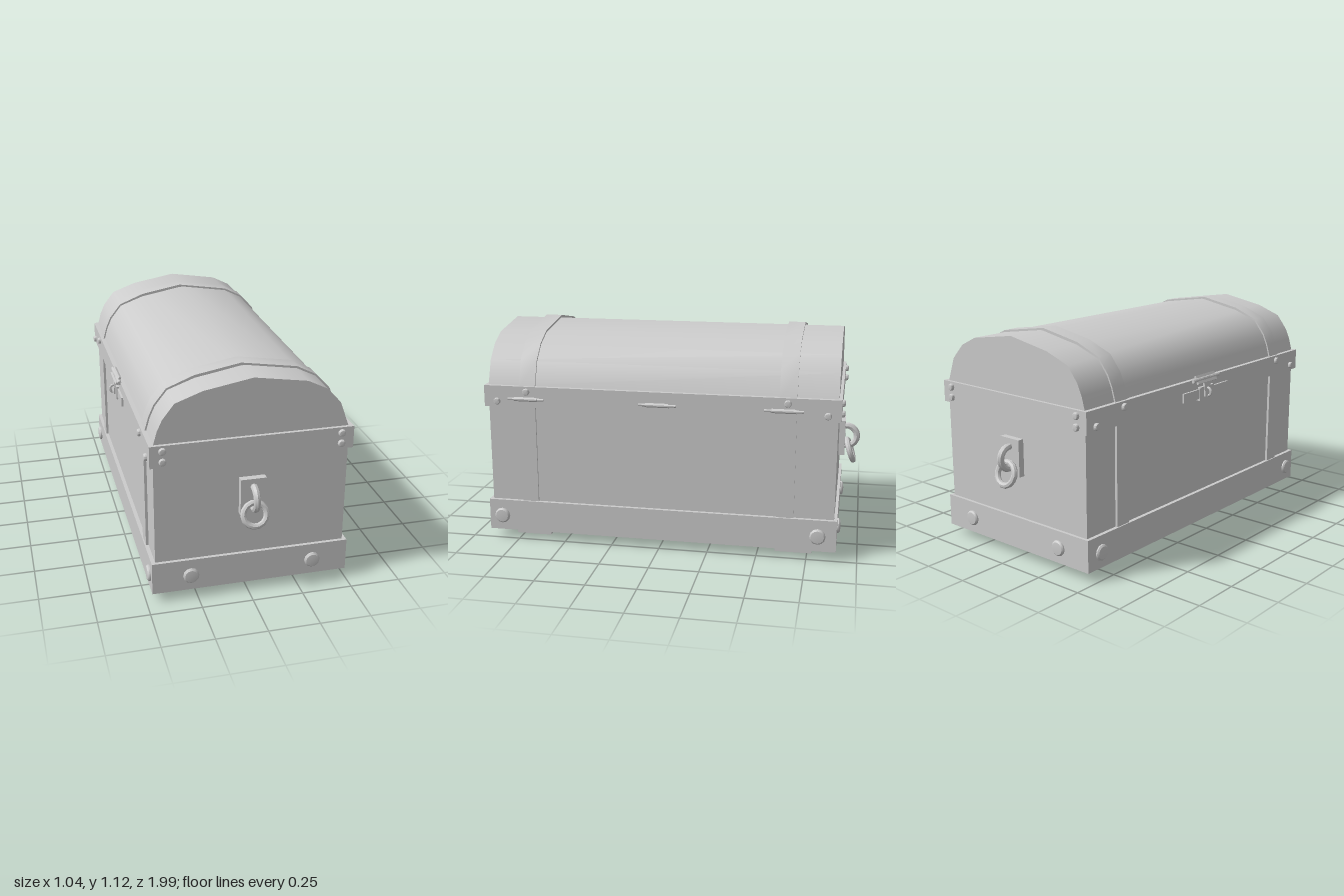
import * as THREE from 'three';
import { toCreasedNormals } from 'three/addons/utils/BufferGeometryUtils.js';

const CX = 0.014, CZ = 0.005; // middle of the chest body

export function createModel() {
  const chest = new THREE.Group();
  chest.name = 'chest';
  const mat = new THREE.MeshStandardMaterial({ color: 0xcccccc });

  const add = (name, geo, parent = chest) => {
    const mesh = new THREE.Mesh(toCreasedNormals(geo, 0.6), mat);
    mesh.name = name;
    parent.add(mesh);
    return mesh;
  };
  // Box given by its extents on each axis
  const box = (name, x0, x1, y0, y1, z0, z1, parent) => {
    const m = add(name, new THREE.BoxGeometry(x1 - x0, y1 - y0, z1 - z0), parent);
    m.position.set((x0 + x1) / 2, (y0 + y1) / 2, (z0 + z1) / 2);
    return m;
  };
  const extrude = (name, points, z0, z1) => {
    const shape = new THREE.Shape(points.map(([x, y]) => new THREE.Vector2(x, y)));
    const geo = new THREE.ExtrudeGeometry(shape, { depth: z1 - z0, bevelEnabled: false });
    add(name, geo).position.z = z0;
  };
  // Domed rivet pointing outwards along dir
  const rivet = (x, y, z, r, dir) => {
    const profile = [[0, 0.017], [r * 0.82, 0.014], [r, 0.007], [r, -0.005]];
    const geo = new THREE.LatheGeometry(profile.map(p => new THREE.Vector2(...p)).reverse(), 12);
    const m = add('rivet', geo);
    m.position.set(x, y, z);
    m.quaternion.setFromUnitVectors(new THREE.Vector3(0, 1, 0), dir);
  };

  // Body and its trims
  box('body', -0.453, 0.481, 0.06, 0.8, -0.881, 0.889);
  box('baseTrim', -0.472, 0.5, 0.047, 0.21, -0.896, 0.906);
  box('lidTrim', -0.472, 0.5, 0.713, 0.822, -0.896, 0.906);

  // Feet
  for (const [x0, x1] of [[-0.37, -0.19], [0.24, 0.42]])
    for (const [z0, z1] of [[-0.773, -0.587], [0.602, 0.788]])
      box('foot', x0, x1, 0, 0.05, z0, z1);

  // Domed lid
  extrude('lid', [[0.481, 0.81], [0.433, 0.942], [0.363, 1.017], [0.27, 1.063], [0.014, 1.103],
    [-0.22, 1.061], [-0.35, 1.013], [-0.407, 0.94], [-0.432, 0.885], [-0.453, 0.81]], -0.881, 0.889);

  // Straps over the lid and down both sides
  const outer = [[0.488, 0.815], [0.439, 0.948], [0.368, 1.024], [0.272, 1.073], [0, 1.115],
    [-0.222, 1.074], [-0.354, 1.021], [-0.414, 0.945], [-0.439, 0.888], [-0.46, 0.815]];
  const inner = outer.map(([x, y]) => [CX + (x - CX) * 0.97, y - 0.013]).reverse();
  for (const [z0, z1] of [[-0.682, -0.596], [0.64, 0.725]]) {
    extrude('lidStrap', [...outer, ...inner], z0, z1);
    box('sideStrap', 0.475, 0.49, 0.2, 0.72, z0, z1);
    box('sideStrap', -0.466, -0.45, 0.2, 0.72, z0, z1);
  }

  // Rivets on the long sides
  for (const s of [-1, 1]) {
    const dir = new THREE.Vector3(s, 0, 0), x = CX + s * 0.486;
    for (const z of [-0.803, 0.837]) rivet(x, 0.125, z, 0.04, dir);
    for (const z of [-0.832, 0.838]) rivet(x, 0.742, z, 0.018, dir);
    for (const z of [-0.639, 0.682]) rivet(x, 0.795, z, 0.018, dir);
  }

  // Rivets and ring handles on both ends
  for (const s of [-1, 1]) {
    const dir = new THREE.Vector3(0, 0, s), z = CZ + s * 0.901;
    for (const x of [-0.283, 0.323]) rivet(x, 0.125, z, 0.039, dir);
    for (const x of [-0.412, 0.44])
      for (const y of [0.742, 0.795]) rivet(x, y, z, 0.018, dir);

    const handle = new THREE.Group();
    handle.name = s > 0 ? 'frontHandle' : 'backHandle';
    handle.position.set(CX, 0, CZ);
    if (s < 0) handle.rotation.y = Math.PI;
    box('handlePlate', -0.062, 0.062, 0.427, 0.613, 0.87, 0.917, handle);
    const staple = add('staple', new THREE.TorusGeometry(0.055, 0.017, 8, 12, Math.PI * 1.3), handle);
    staple.rotation.set(0, -Math.PI / 2, 0);
    staple.geometry.rotateZ(-Math.PI * 0.65);
    staple.position.set(0, 0.518, 0.923);
    const ring = add('ring', new THREE.TorusGeometry(0.057, 0.015, 8, 14), handle);
    ring.rotation.x = -0.32;
    ring.position.set(0, 0.441, 0.946);
    chest.add(handle);
  }

  // Hinges: a leaf with a stepped barrel
  for (const z of [-0.62, 0.005, 0.685]) {
    for (const [r, len] of [[0.007, 0.19], [0.011, 0.12]]) {
      const barrel = add('hingeBarrel', new THREE.CylinderGeometry(r, r, len, 10));
      barrel.rotation.x = Math.PI / 2;
      barrel.position.set(0.503, 0.757, z);
    }
  }

  // Latch: wall plate, staple ring, hinge barrel and leaning hasp
  const latch = new THREE.Group();
  latch.name = 'latch';
  chest.add(latch);
  box('latchPlate', -0.482, -0.465, 0.72, 0.768, -0.19, 0.19, latch);
  box('latchPlateCentre', -0.487, -0.465, 0.708, 0.778, -0.06, 0.06, latch);
  const loop = add('latchLoop', new THREE.TorusGeometry(0.02, 0.007, 8, 12), latch);
  loop.position.set(-0.492, 0.748, 0);
  const pin = add('latchBarrel', new THREE.CylinderGeometry(0.011, 0.011, 0.22, 10), latch);
  pin.rotation.x = Math.PI / 2;
  pin.position.set(-0.476, 0.818, 0);
  const leaf = add('latchLeaf', new THREE.BoxGeometry(0.012, 0.045, 0.16), latch);
  leaf.position.set(-0.477, 0.818, 0);
  leaf.rotation.z = -0.5;
  const hasp = add('hasp', new THREE.BoxGeometry(0.01, 0.1, 0.05), latch);
  hasp.position.set(-0.486, 0.775, 0);
  hasp.rotation.z = -0.12;

  return chest;
}
